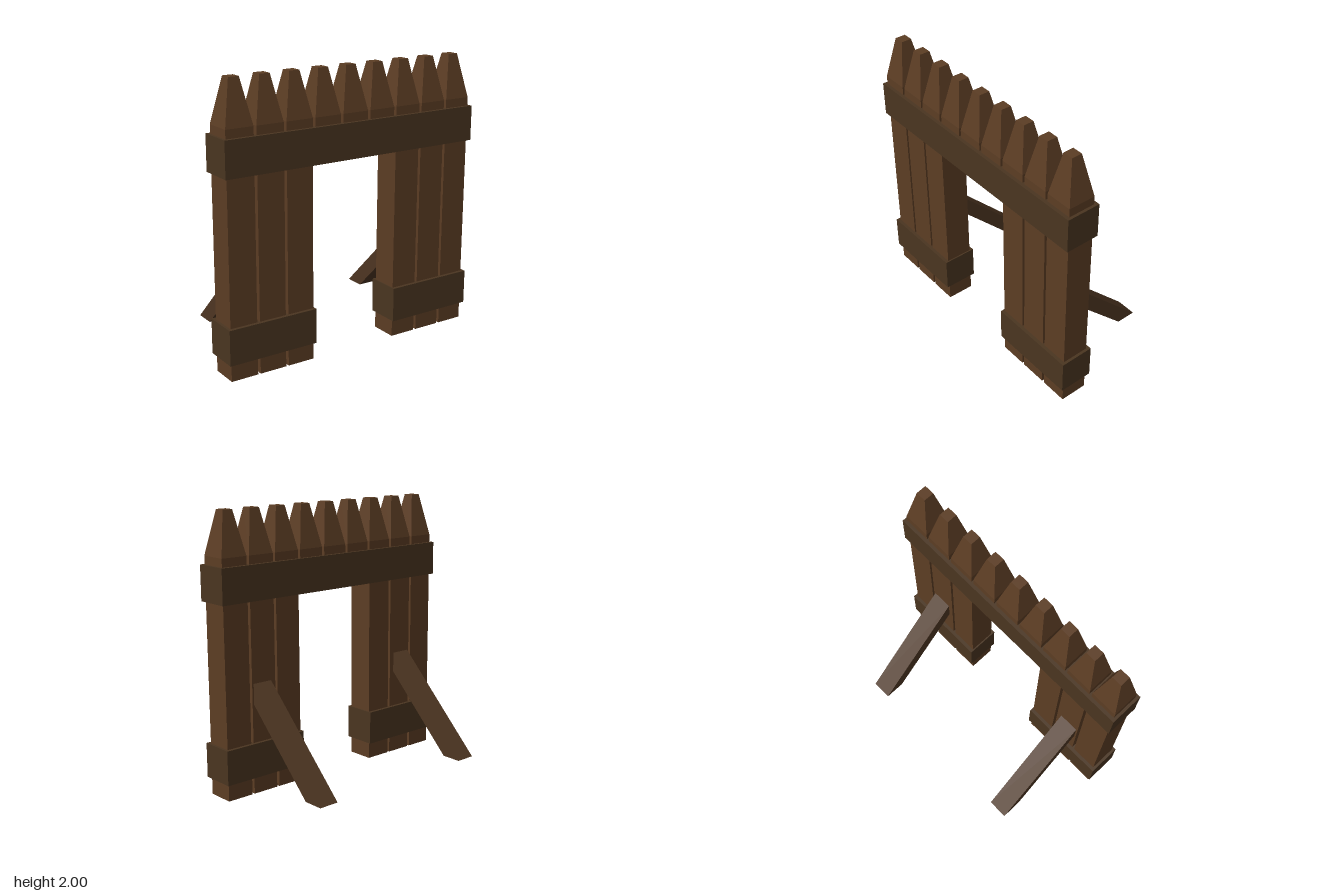
import * as THREE from 'three';

const wood = (color) => new THREE.MeshStandardMaterial({ color, flatShading: true });

export function createModel() {
  const gate = new THREE.Group();
  gate.name = 'palisadeGate';
  const postWood = wood(0x5c3d24);
  const beamWood = wood(0x4a3520);
  const braceWood = wood(0x4e3622);
  const wallZ = 0.34;

  function add(name, geometry, material, x, y, z) {
    const mesh = new THREE.Mesh(geometry, material);
    mesh.name = name;
    mesh.position.set(x, y, z);
    gate.add(mesh);
  }

  // Square stake with a blunt tapered tip: a four-sided lathe
  function stake(bottom) {
    const profile = [[0, bottom], [0.1, bottom], [0.1, 1.69], [0.038, 2], [0, 2]]
      .map(([half, y]) => new THREE.Vector2(half * Math.SQRT2, y));
    return new THREE.LatheGeometry(profile, 4, Math.PI / 4);
  }

  // Nine stakes; the middle three stop inside the top beam to leave the doorway
  for (let i = -4; i <= 4; i++) {
    const overDoor = Math.abs(i) < 2;
    add(overDoor ? 'shortStake' : 'tallStake', stake(overDoor ? 1.42 : 0), postWood, i * 0.22, 0, wallZ);
  }

  // Horizontal beams
  add('topBeam', new THREE.BoxGeometry(2, 0.25, 0.25), beamWood, 0, 1.505, wallZ);
  for (const side of [-1, 1]) {
    add('lowerBeam', new THREE.BoxGeometry(0.67, 0.25, 0.25), beamWood, side * 0.665, 0.25, wallZ);
  }

  // Slanted rear braces, drawn in the z-y plane with a level foot
  const outline = new THREE.Shape(
    [[0.245, 0.805], [-0.46, 0.1], [-0.31, 0.1], [0.245, 0.655]].map(([z, y]) => new THREE.Vector2(z, y))
  );
  const brace = new THREE.ExtrudeGeometry(outline, { depth: 0.15, bevelEnabled: false });
  brace.translate(0, 0, -0.075).rotateY(-Math.PI / 2);
  for (const side of [-1, 1]) add('rearBrace', brace, braceWood, side * 0.672, 0, 0);

  return gate;
}
